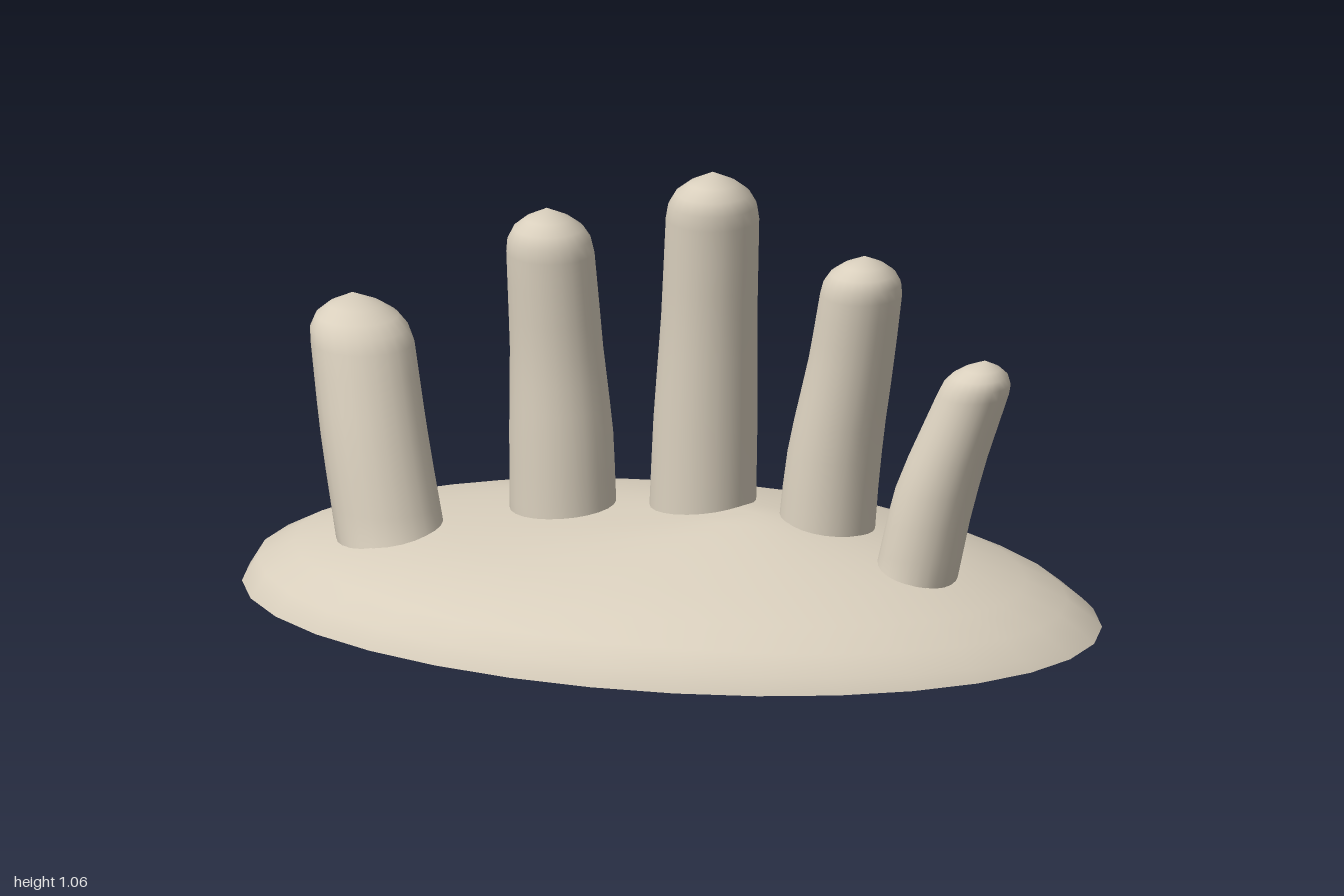
import * as THREE from 'three';

// Skin a stack of closed rings, from a start point below to an end point above
function loft(rings, start, end, n) {
  const pos = [...start], idx = [];
  rings.forEach(r => r.forEach(p => pos.push(...p)));
  const last = 1 + rings.length * n;
  pos.push(...end);
  for (let j = 0; j < n; j++) {
    const k = (j + 1) % n;
    idx.push(0, 1 + k, 1 + j);
    for (let i = 0; i < rings.length - 1; i++) {
      const a = 1 + i * n + j, b = 1 + i * n + k;
      idx.push(a, b, a + n, b, b + n, a + n);
    }
    idx.push(last - n + j, last - n + k, last);
  }
  const g = new THREE.BufferGeometry();
  g.setAttribute('position', new THREE.Float32BufferAttribute(pos, 3));
  g.setIndex(idx);
  g.computeVertexNormals();
  return g;
}

// Horizontal ring, counterclockwise seen from above
function ring(x, y, z, r, n) {
  return Array.from({ length: n }, (_, j) => {
    const a = (j / n) * Math.PI * 2;
    return [x + r * Math.cos(a), y, z - r * Math.sin(a)];
  });
}

// Finger: pointed root, sections [x, y, z, radius], pointed dome at the tip
function fingerGeometry({ root, sections, tip }) {
  const n = 24, first = sections[0], top = sections[sections.length - 1];
  const rings = [];
  for (const [y, f] of [[0.04, 0.48], [0.08, 0.78], [0.13, 0.97]]) {
    rings.push(ring(root[0], y, root[1], first[3] * f, n));
  }
  // Smooth the body through its sections
  const c = new THREE.CatmullRomCurve3(sections.map(s => new THREE.Vector3(s[0], s[1], s[2])));
  const steps = (sections.length - 1) * 3;
  for (let i = 0; i <= steps; i++) {
    const p = c.getPoint(i / steps), k = Math.min(Math.floor(i / 3), sections.length - 2);
    const r = THREE.MathUtils.lerp(sections[k][3], sections[k + 1][3], i / 3 - k);
    rings.push(ring(p.x, p.y, p.z, r, n));
  }
  // Dome: fraction of the way to the tip, fraction of the radius
  for (const [h, f] of [[0.3, 0.95], [0.55, 0.8], [0.76, 0.52]]) {
    const l = (a, b) => THREE.MathUtils.lerp(a, b, h);
    rings.push(ring(l(top[0], tip[0]), l(top[1], tip[1]), l(top[2], tip[2]), top[3] * f, n));
  }
  return loft(rings, [root[0], 0, root[1]], tip, n);
}

// Palm: oval dome with its peak off to one side
function palmGeometry() {
  const n = 32, apex = [0.2, 0.275, 0];
  // Inward fraction, then height on the right, middle and left sides
  const profile = [
    [0, 0.04, 0.04, 0.04], [0.03, 0.1, 0.085, 0.06], [0.1, 0.145, 0.127, 0.1],
    [0.22, 0.185, 0.167, 0.143], [0.4, 0.21, 0.207, 0.192],
    [0.7, 0.237, 0.25, 0.245], [0.88, 0.26, 0.268, 0.267],
  ];
  const rings = profile.map(([t, right, mid, left]) => Array.from({ length: n }, (_, j) => {
    const a = (j / n) * Math.PI * 2, c = Math.cos(a);
    const y = THREE.MathUtils.lerp(mid, c < 0 ? right : left, c * c);
    return [c * (1 - t) + apex[0] * t, y, -Math.sin(a) * 0.635 * (1 - t)];
  }));
  // Only the dome is kept here; the flat underside is its own face
  const g = loft(rings, [0, 0.04, 0], apex, n);
  const idx = Array.from(g.index.array), dome = [];
  for (let i = 0; i < idx.length; i += 3) {
    if (idx[i] !== 0) dome.push(idx[i], idx[i + 1], idx[i + 2]);
  }
  g.setIndex(dome);
  g.computeVertexNormals();
  return g;
}

export function createModel() {
  const model = new THREE.Group();
  model.name = 'hand';
  const clay = new THREE.MeshStandardMaterial({ color: 0xd9cfbd });
  clay.name = 'clay';
  const add = (name, geometry) => {
    const m = new THREE.Mesh(geometry, clay);
    m.name = name;
    model.add(m);
    return m;
  };

  add('palm', palmGeometry());
  const under = add('palmUnderside', new THREE.CircleGeometry(1, 32));
  under.rotation.x = Math.PI / 2;
  under.scale.y = 0.635;
  under.position.y = 0.04;

  const fingers = {
    thumb: {
      root: [-0.615, 0.13],
      sections: [[-0.633, 0.17, 0.105, 0.125], [-0.687, 0.4, 0.06, 0.122], [-0.73, 0.6, 0.01, 0.118]],
      tip: [-0.76, 0.707, -0.01],
    },
    indexFinger: {
      root: [-0.27, -0.07],
      sections: [[-0.28, 0.17, -0.075, 0.122], [-0.287, 0.4, -0.08, 0.118],
        [-0.297, 0.6, -0.077, 0.106], [-0.308, 0.83, -0.065, 0.1]],
      tip: [-0.312, 0.938, -0.05],
    },
    middleFinger: {
      root: [0.03, -0.11],
      sections: [[0.037, 0.17, -0.11, 0.122], [0.045, 0.45, -0.112, 0.118],
        [0.057, 0.7, -0.102, 0.109], [0.07, 0.94, -0.085, 0.106]],
      tip: [0.08, 1.06, -0.055],
    },
    ringFinger: {
      root: [0.33, -0.05],
      sections: [[0.343, 0.17, -0.055, 0.111], [0.367, 0.42, -0.06, 0.107],
        [0.41, 0.65, -0.05, 0.097], [0.437, 0.81, -0.036, 0.093]],
      tip: [0.45, 0.906, -0.02],
    },
    littleFinger: {
      root: [0.575, 0.09],
      sections: [[0.597, 0.17, 0.075, 0.095], [0.648, 0.4, 0.066, 0.094], [0.732, 0.63, 0.06, 0.081]],
      tip: [0.762, 0.714, 0.068],
    },
  };
  for (const [name, spec] of Object.entries(fingers)) add(name, fingerGeometry(spec));
  return model;
}
